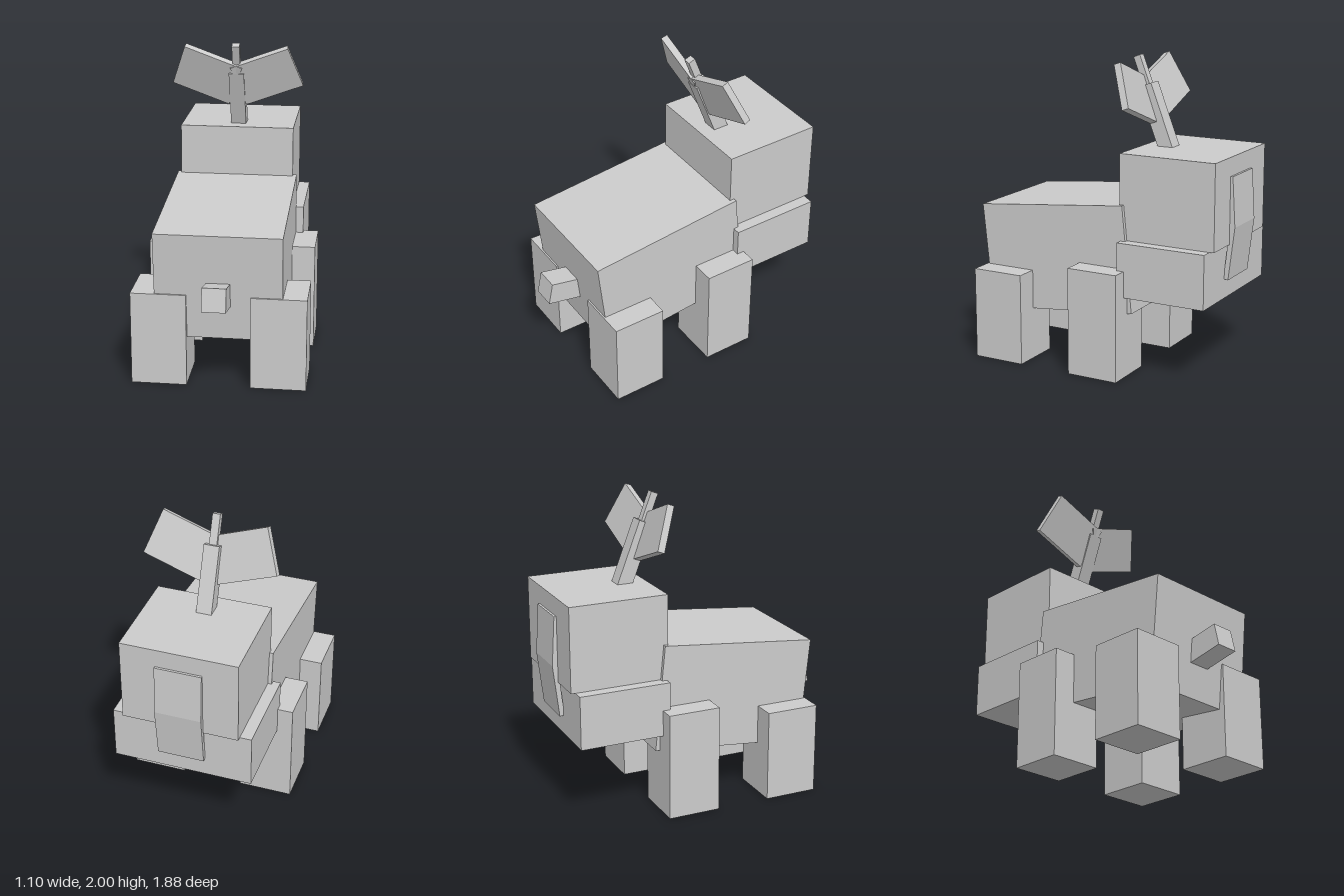
import * as THREE from 'three';

const grey = new THREE.MeshStandardMaterial({ color: 0xcccccc, flatShading: true });

// Box by size and centre, with optional tilt about x and roll about z (tilt first)
function box(parent, name, size, pos, tilt = 0, roll = 0) {
  const mesh = new THREE.Mesh(new THREE.BoxGeometry(...size), grey);
  mesh.name = name;
  mesh.position.set(...pos);
  mesh.rotation.set(tilt, 0, roll, 'ZYX');
  parent.add(mesh);
  return mesh;
}

export function createModel() {
  const model = new THREE.Group();
  model.name = 'blockAnimal';

  // Sloping body and stub tail
  box(model, 'body', [0.8, 0.694, 1.045], [0, 0.708, 0.205], 0.1);
  box(model, 'tail', [0.15, 0.148, 0.3], [0, 0.621, 0.778], -0.21);

  // Head (facing -z) with a wider jaw
  box(model, 'head', [0.75, 0.55, 0.65], [0, 1.155, -0.575]);
  box(model, 'jaw', [0.9, 0.35, 0.6], [0, 0.705, -0.57]);

  // Bent plate down the face, profile in (z, y) swept along x
  const profile = [[-0.89, 1.31], [-0.915, 1.31], [-0.935, 0.99], [-0.895, 0.65], [-0.865, 0.655], [-0.9, 0.99]];
  const shape = new THREE.Shape(profile.map(([z, y]) => new THREE.Vector2(-z, y)));
  const plateGeometry = new THREE.ExtrudeGeometry(shape, { depth: 0.3, bevelEnabled: false });
  plateGeometry.translate(0, 0, -0.15).rotateY(Math.PI / 2);
  const plate = new THREE.Mesh(plateGeometry, grey);
  plate.name = 'facePlate';
  model.add(plate);

  // Legs and sprout leaves, mirrored
  for (const [side, s] of [['left', 1], ['right', -1]]) {
    box(model, side + 'HeadEndLeg', [0.35, 0.7, 0.345], [s * 0.375, 0.35, -0.147]);
    box(model, side + 'TailEndLeg', [0.35, 0.6, 0.35], [s * 0.375, 0.3, 0.555]);
    box(model, side + 'Leaf', [0.4, 0.3, 0.045], [s * 0.195, 1.779, -0.265], 0.37, s * 0.35);
  }

  // Leaning stalk with a thin tip
  const sprout = new THREE.Group();
  sprout.name = 'sprout';
  sprout.position.set(0, 1.43, -0.398);
  sprout.rotation.x = 0.37;
  box(sprout, 'stalk', [0.1, 0.46, 0.098], [0, 0.18, 0]);
  box(sprout, 'stalkTip', [0.05, 0.22, 0.048], [0, 0.492, 0]);
  model.add(sprout);

  return model;
}
